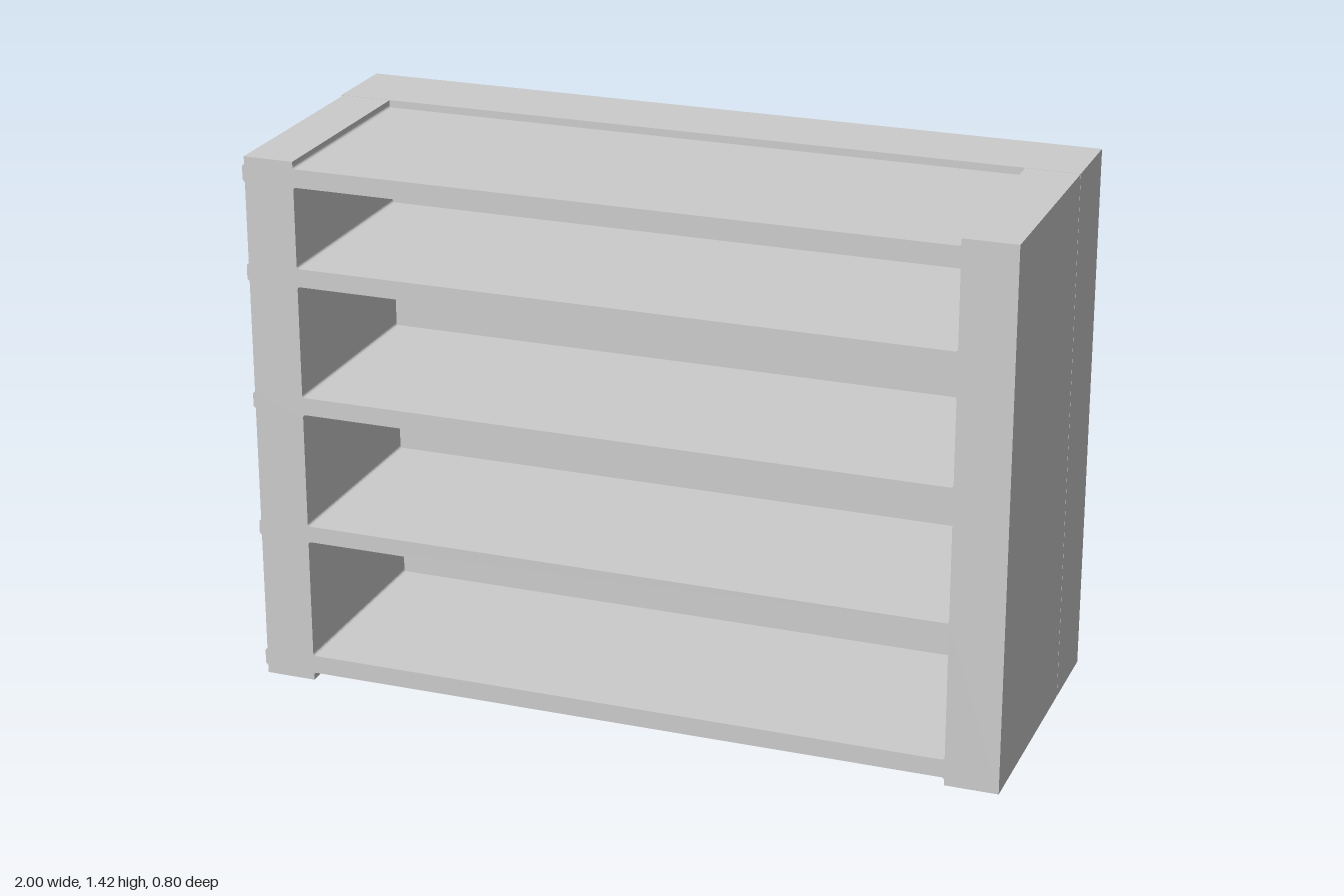
import * as THREE from 'three';

const HEIGHT = 1.425;
const INNER = 0.86;    // half width of the openings
const SEAM = -0.178;   // where the front frame meets the back block
const FILLET = 0.008;
// bottom and top of each shelf board
const SHELVES = [[0.021, 0.07], [0.396, 0.44], [0.75, 0.797], [1.096, 1.144], [1.358, 1.406]];

// rectangular opening with softly rounded corners
function opening(y0, y1) {
  const p = new THREE.Path(), r = FILLET, x = INNER;
  p.moveTo(-x + r, y0);
  p.lineTo(x - r, y0);
  p.quadraticCurveTo(x, y0, x, y0 + r);
  p.lineTo(x, y1 - r);
  p.quadraticCurveTo(x, y1, x - r, y1);
  p.lineTo(-x + r, y1);
  p.quadraticCurveTo(-x, y1, -x, y1 - r);
  p.lineTo(-x, y0 + r);
  p.quadraticCurveTo(-x, y0, -x + r, y0);
  return p;
}

// ladder-shaped outline: two uprights joined by the shelves
function frameShape() {
  const s = new THREE.Shape(), r = FILLET, x = INNER;
  const low = SHELVES[0][0], high = SHELVES[SHELVES.length - 1][1];
  const edge = -0.994; // left upright, slightly behind the shelf ends
  s.moveTo(edge, 0);
  s.lineTo(-x, 0);
  s.lineTo(-x, low - r);
  s.quadraticCurveTo(-x, low, -x + r, low);
  s.lineTo(x - r, low);
  s.quadraticCurveTo(x, low, x, low - r);
  s.lineTo(x, 0);
  s.lineTo(1, 0);
  s.lineTo(1, HEIGHT);
  s.lineTo(x, HEIGHT);
  s.lineTo(x, high + r);
  s.quadraticCurveTo(x, high, x - r, high);
  s.lineTo(-x + r, high);
  s.quadraticCurveTo(-x, high, -x, high + r);
  s.lineTo(-x, HEIGHT);
  s.lineTo(edge, HEIGHT);
  // shelf ends standing proud of the left upright
  for (const [y0, y1] of [...SHELVES].reverse()) {
    s.lineTo(edge, y1);
    s.lineTo(-1, y1 - 0.006);
    s.lineTo(-1, y0 + 0.006);
    s.lineTo(edge, y0);
  }
  s.closePath();
  for (let i = 0; i < SHELVES.length - 1; i++) {
    s.holes.push(opening(SHELVES[i][1], SHELVES[i + 1][0]));
  }
  return s;
}

export function createModel() {
  const model = new THREE.Group();
  model.name = 'shelfUnit';
  const material = new THREE.MeshStandardMaterial({ color: 0xcccccc });

  // uprights and shelves
  const frame = new THREE.Mesh(
    new THREE.ExtrudeGeometry(frameShape(), { depth: 0.4 - SEAM, bevelEnabled: false, curveSegments: 4 }),
    material
  );
  frame.name = 'shelfFrame';
  frame.position.z = SEAM;
  model.add(frame);

  // solid block behind the shelves
  const depth = SEAM - 0.002 + 0.4;
  const back = new THREE.Mesh(new THREE.BoxGeometry(2, HEIGHT, depth), material);
  back.name = 'backBlock';
  back.position.set(0, HEIGHT / 2, -0.4 + depth / 2);
  model.add(back);

  return model;
}
